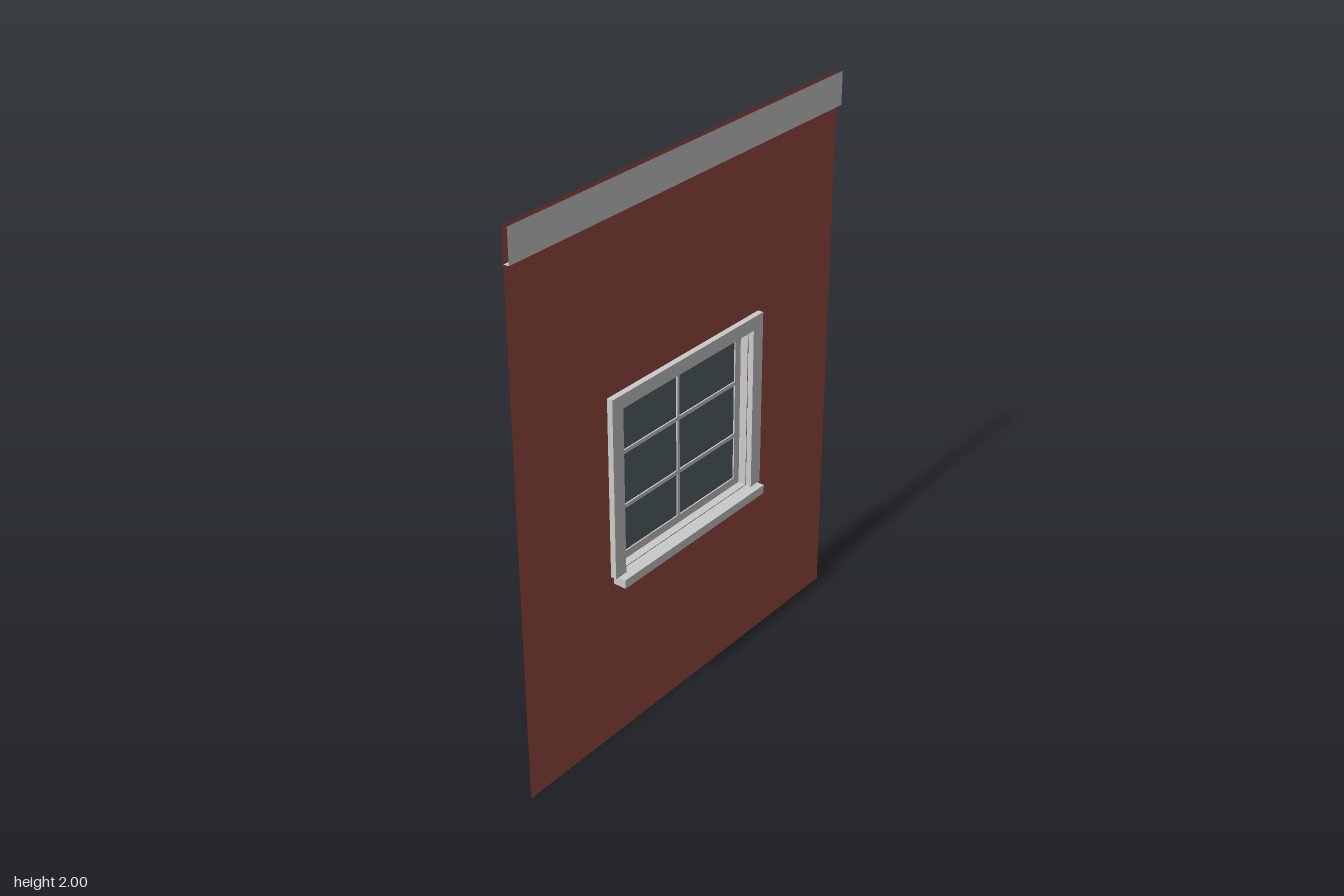
import * as THREE from 'three';

const mat = (color) => new THREE.MeshStandardMaterial({ color, side: THREE.DoubleSide });

// Rectangle outline between two corners, as a Shape or a hole Path
function rect(x0, y0, x1, y1, Type = THREE.Shape) {
  return new Type([[x0, y0], [x1, y0], [x1, y1], [x0, y1]].map(([x, y]) => new THREE.Vector2(x, y)));
}

export function createModel() {
  const group = new THREE.Group();
  const brick = mat(0x9b4d3f), trim = mat(0xcccccc), glass = mat(0x586667);

  const add = (name, geometry, material) => {
    const mesh = new THREE.Mesh(geometry, material);
    mesh.name = name;
    group.add(mesh);
    return mesh;
  };
  // Extrude a flat outline between two depths
  const slab = (name, shape, z0, z1, material = trim) => {
    const geometry = new THREE.ExtrudeGeometry(shape, { depth: z1 - z0, bevelEnabled: false });
    add(name, geometry.translate(0, 0, z0), material);
  };

  // Window opening
  const W = 0.334, B = 0.637, T = 1.238;

  // Thin wall with the opening cut out
  const wall = rect(-0.8, 0, 0.8, 2);
  wall.holes.push(rect(-W, B, W, T, THREE.Path));
  add('wall', new THREE.ShapeGeometry(wall), brick);

  // Fascia board along the top: a front face and an underside, open at the ends
  add('fasciaFront', new THREE.PlaneGeometry(1.6, 0.117).translate(0, 1.9415, 0.02), trim);
  add('fasciaUnderside', new THREE.PlaneGeometry(1.6, 0.02).rotateX(Math.PI / 2).translate(0, 1.883, 0.01), trim);

  // Casing around the sides and top of the opening
  const casing = new THREE.Shape([
    [-0.385, B], [-W, B], [-W, T], [W, T], [W, B], [0.385, B], [0.385, 1.287], [-0.385, 1.287],
  ].map(([x, y]) => new THREE.Vector2(x, y)));
  slab('casing', casing, 0.001, 0.022);

  // Projecting sill
  slab('sill', rect(-0.372, 0.605, 0.372, B), 0.001, 0.05);

  // Recess lining behind the wall
  const lining = rect(-W, B, W, T);
  lining.holes.push(rect(-W + 0.002, B + 0.002, W - 0.002, T - 0.002, THREE.Path));
  slab('recessLining', lining, -0.05, 0);

  // Sash with a grid of two by three panes
  const sash = rect(-W + 0.002, B + 0.002, W - 0.002, T - 0.002);
  for (const [y0, y1] of [[0.668, 0.829], [0.843, 1.03], [1.044, 1.207]]) {
    for (const [x0, x1] of [[-0.303, -0.006], [0.006, 0.303]]) {
      sash.holes.push(rect(x0, y0, x1, y1, THREE.Path));
    }
  }
  slab('sash', sash, -0.034, -0.029);

  // Glazing filling the back of the recess
  slab('glazing', rect(-W + 0.002, B + 0.002, W - 0.002, T - 0.002), -0.05, -0.0345, glass);

  return group;
}
